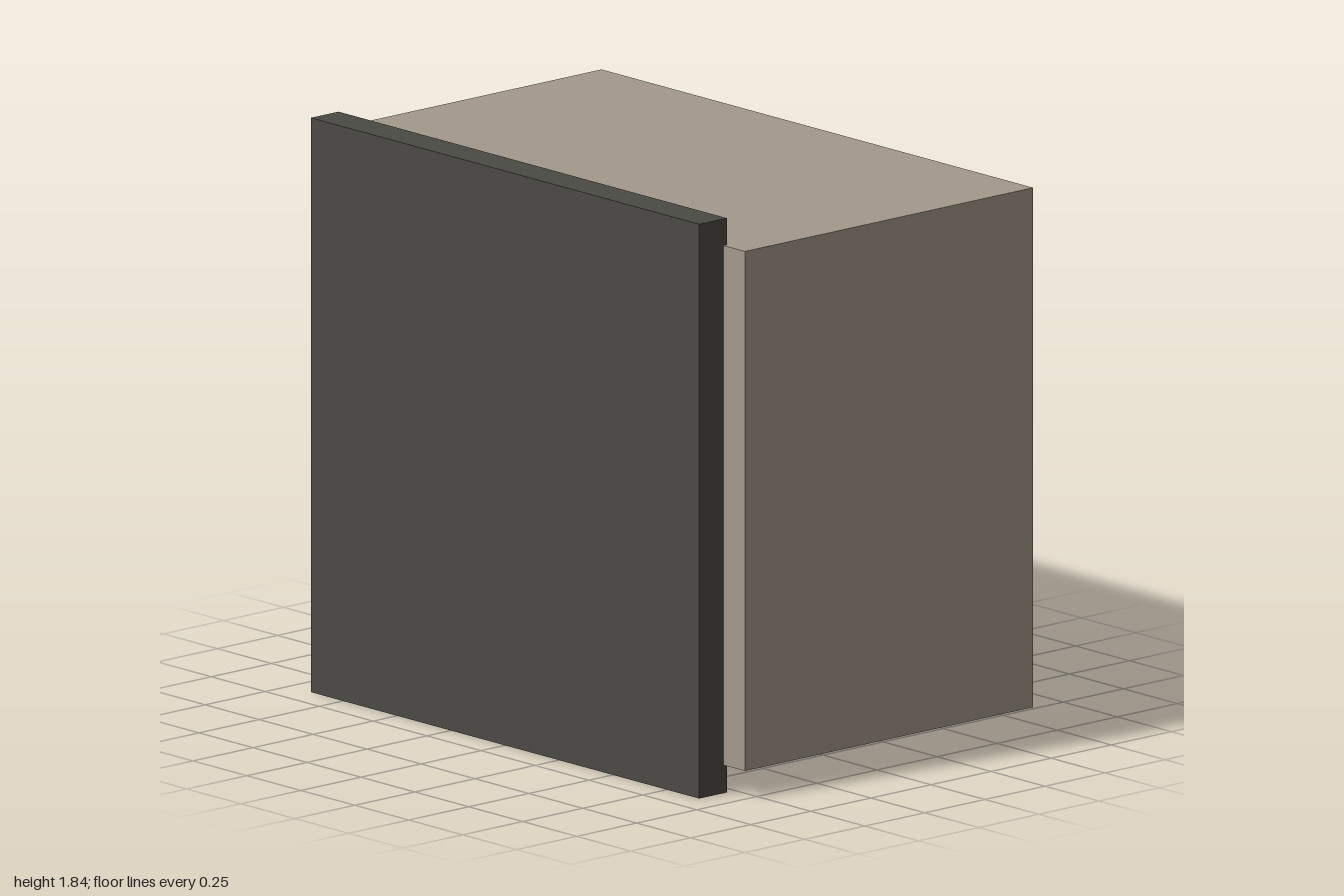
import * as THREE from 'three';

const material = (color) => new THREE.MeshStandardMaterial({ color });

// Box given by its [min, max] range on each axis
function box(name, [x0, x1], [y0, y1], [z0, z1], mat) {
  const mesh = new THREE.Mesh(new THREE.BoxGeometry(x1 - x0, y1 - y0, z1 - z0), mat);
  mesh.position.set((x0 + x1) / 2, (y0 + y1) / 2, (z0 + z1) / 2);
  mesh.name = name;
  return mesh;
}

export function createModel() {
  const group = new THREE.Group();
  group.name = 'cabinet';
  const beige = material(0xa3998b);
  const charcoal = material(0x4b4a45);
  const railGrey = material(0x575b57);
  const teal = material(0x48646a);
  const brown = material(0x706458);

  // Main body and the front panel overlapping it slightly
  group.add(box('body', [-1, 1], [0.09, 1.75], [-0.65, 0.55], beige));
  group.add(box('frontPanel', [-0.9, 0.9], [0, 1.835], [0.535, 0.65], charcoal));

  // Centre rail under the body
  group.add(box('bottomRail', [-0.02, 0.02], [0.045, 0.1], [-0.63, 0.48], railGrey));

  // Pair of pads on each side of the rail
  for (const [side, cx] of [['left', 0.517], ['right', -0.517]]) {
    const span = [cx - 0.152, cx + 0.152];
    group.add(box(side + 'MiddlePad', span, [0.062, 0.1], [-0.32, 0.05], teal));
    group.add(box(side + 'RearPad', span, [0.056, 0.1], [-0.62, -0.35], brown));
  }
  return group;
}
